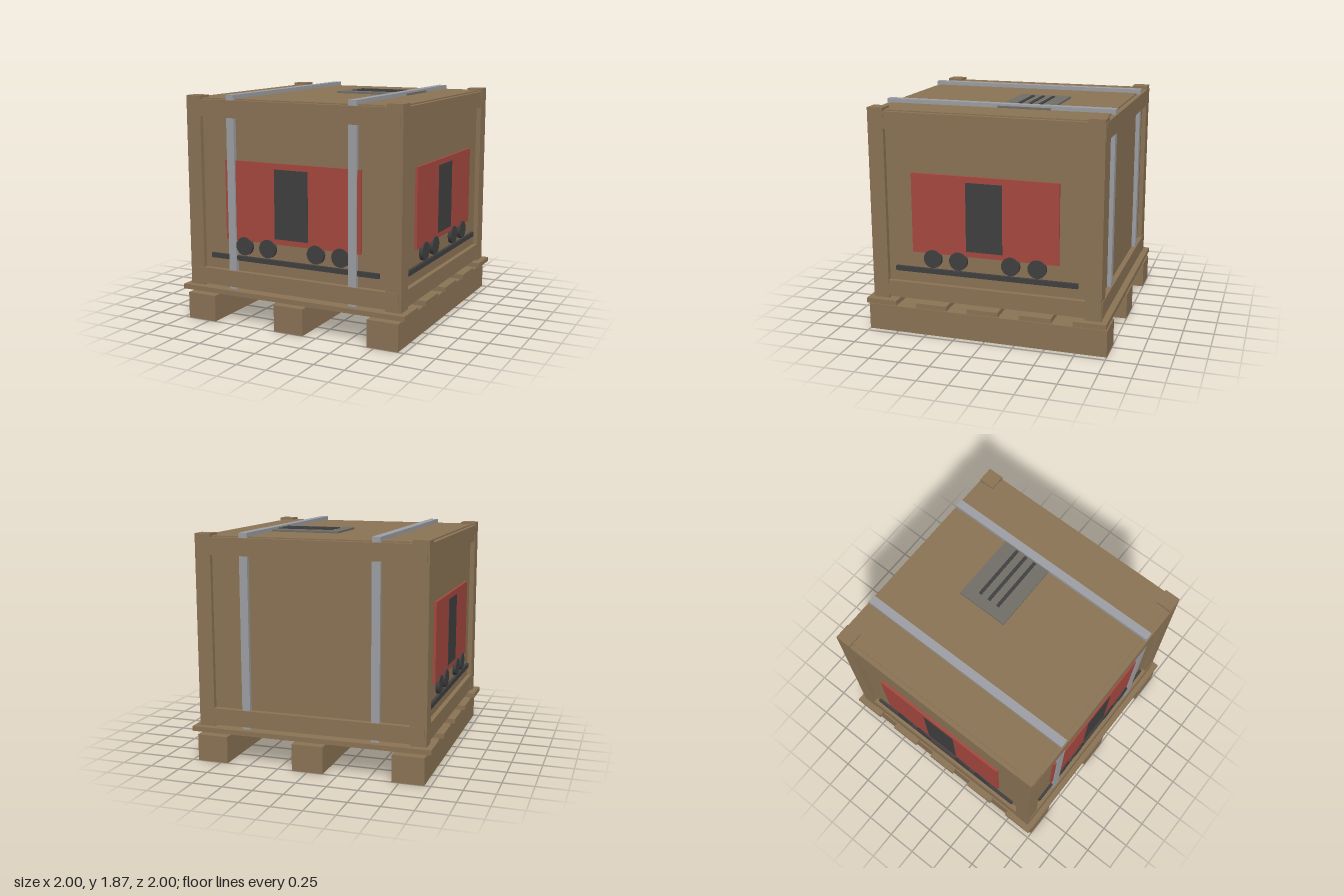
import * as THREE from 'three';

export function createModel() {
  const model = new THREE.Group();
  model.name = 'shippingCrate';

  const mat = (name, color) => {
    const m = new THREE.MeshStandardMaterial({ color });
    m.name = name;
    return m;
  };
  const wood = mat('wood', 0x8b7355);
  const red = mat('red paint', 0xa5483f);
  const dark = mat('dark grey', 0x404040);
  const steel = mat('strap steel', 0x9c9ea3);
  const grey = mat('label grey', 0x716d66);

  // Box given by its min and max on each axis
  const box = (parent, name, material, [x0, x1], [y0, y1], [z0, z1]) => {
    const mesh = new THREE.Mesh(new THREE.BoxGeometry(x1 - x0, y1 - y0, z1 - z0), material);
    mesh.position.set((x0 + x1) / 2, (y0 + y1) / 2, (z0 + z1) / 2);
    mesh.name = name;
    parent.add(mesh);
    return mesh;
  };
  const group = (name) => {
    const g = new THREE.Group();
    g.name = name;
    model.add(g);
    return g;
  };

  // Pallet: three runners under five deck boards
  const pallet = group('pallet');
  for (const x of [-0.82, 0, 0.82])
    box(pallet, 'runner', wood, [x - 0.13, x + 0.13], [0, 0.22], [-1, 1]);
  for (let i = -2; i <= 2; i++) {
    const z = i * 0.434;
    box(pallet, 'deckBoard', wood, [-1, 1], [0.245, 0.285], [z - 0.131, z + 0.131]);
  }

  // Crate: panelled body with corner posts and rails
  const crate = group('crate');
  box(crate, 'body', wood, [-0.91, 0.91], [0.288, 1.84], [-0.913, 0.913]);
  for (const sx of [-1, 1])
    for (const sz of [-1, 1]) {
      const post = box(crate, 'cornerPost', wood, [-0.065, 0.065], [0.287, 1.858], [-0.065, 0.065]);
      post.position.x = sx * 0.886;
      post.position.z = sz * 0.886;
    }
  for (const [y0, y1] of [[0.305, 0.44], [1.69, 1.83]])
    for (const s of [-1, 1]) {
      const end = box(crate, 'endRail', wood, [-0.932, 0.932], [y0, y1], [-0.022, 0.022]);
      end.position.z = s * 0.934;
      const side = box(crate, 'sideRail', wood, [-0.02, 0.02], [y0, y1], [-0.93, 0.93]);
      side.position.x = s * 0.928;
    }

  // Two steel straps wrapped around the crate
  const straps = group('straps');
  for (const x of [-0.542, 0.54]) {
    const w = [x - 0.034, x + 0.034];
    box(straps, 'strapTop', steel, w, [1.836, 1.872], [-0.945, 0.945]);
    box(straps, 'strapBottom', steel, w, [0.264, 0.29], [-0.945, 0.945]);
    box(straps, 'strapFront', steel, w, [0.264, 1.872], [0.91, 0.947]);
    box(straps, 'strapBack', steel, w, [0.264, 1.872], [-0.947, -0.91]);
  }

  // Wagon emblem on the front and both sides
  const wheelShape = new THREE.CylinderGeometry(0.075, 0.075, 0.036, 24).rotateX(Math.PI / 2);
  for (const angle of [0, Math.PI / 2, -Math.PI / 2]) {
    const emblem = group('wagonEmblem');
    emblem.rotation.y = angle;
    box(emblem, 'wagonBody', red, [-0.605, 0.605], [0.7, 1.35], [0.905, 0.931]);
    box(emblem, 'wagonDoor', dark, [-0.15, 0.15], [0.743, 1.303], [0.929, 0.934]);
    box(emblem, 'track', dark, [-0.757, 0.757], [0.528, 0.568], [0.905, 0.934]);
    for (const x of [-0.433, -0.217, 0.217, 0.433]) {
      const wheel = new THREE.Mesh(wheelShape, dark);
      wheel.position.set(x, 0.655, 0.924);
      wheel.name = 'wheel';
      emblem.add(wheel);
    }
  }

  // Shipping label on the lid with three bars
  const label = group('label');
  box(label, 'labelPlate', grey, [-0.07, 0.58], [1.838, 1.856], [-0.437, -0.003]);
  for (const z of [-0.307, -0.22, -0.133])
    box(label, 'labelBar', dark, [0.02, 0.495], [1.855, 1.864], [z - 0.013, z + 0.013]);

  return model;
}
